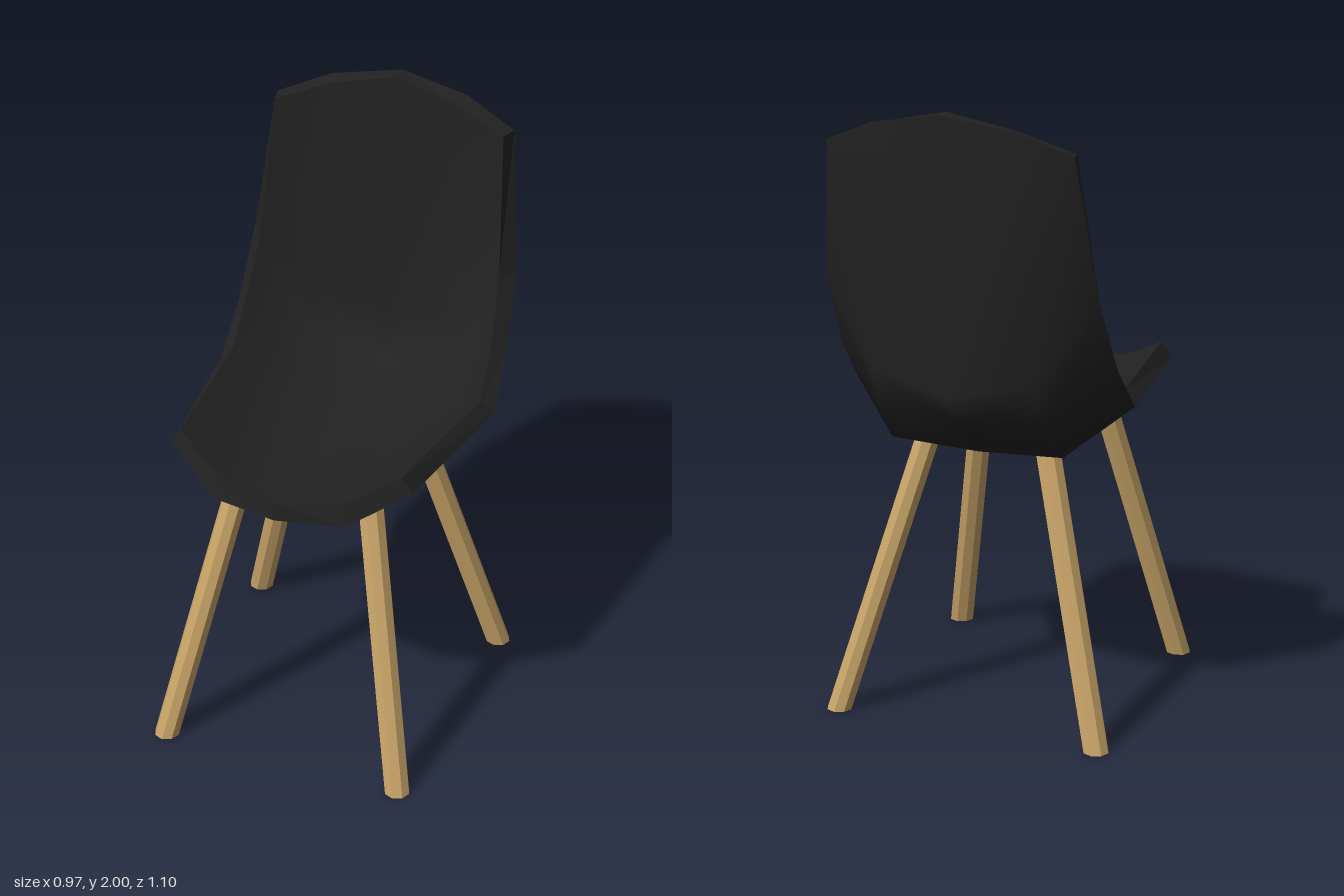
import * as THREE from 'three';

const black = new THREE.MeshStandardMaterial({ color: 0x222222 });
const blackFlat = new THREE.MeshStandardMaterial({ color: 0x222222, flatShading: true });
const wood = new THREE.MeshStandardMaterial({ color: 0xc8a468, flatShading: true });

// Half cross-sections of the shell, front lip to top of back: [edge, mid, centre]
const INNER = [
  [[0.365, 1.12, 0.40], [0.20, 1.035, 0.49], [0, 1.02, 0.53]],
  [[0.43, 1.10, -0.14], [0.26, 0.975, -0.265], [0, 0.95, -0.235]],
  [[0.425, 1.24, -0.25], [0.255, 1.09, -0.36], [0, 1.05, -0.345]],
  [[0.41, 1.44, -0.35], [0.24, 1.22, -0.43], [0, 1.16, -0.46]],
  [[0.385, 1.89, -0.42], [0.21, 1.955, -0.465], [0, 2.0, -0.49]],
];
const OUTER = [
  [[0.40, 1.07, 0.40], [0.22, 0.967, 0.50], [0, 0.96, 0.535]],
  [[0.475, 1.06, -0.15], [0.29, 0.91, -0.28], [0, 0.89, -0.26]],
  [[0.465, 1.21, -0.28], [0.28, 1.04, -0.385], [0, 1.01, -0.385]],
  [[0.452, 1.44, -0.40], [0.26, 1.19, -0.49], [0, 1.13, -0.51]],
  [[0.40, 1.89, -0.48], [0.23, 1.96, -0.525], [0, 2.0, -0.55]],
];

// Mirror a half section into a full row running from -x to +x
const fullRow = ([e, m, c]) => {
  const flip = ([x, y, z]) => [-x, y, z];
  return [flip(e), flip(m), c, m, e];
};

function mesh(name, points, index, material) {
  let geo = new THREE.BufferGeometry();
  geo.setAttribute('position', new THREE.Float32BufferAttribute(points.flat(), 3));
  geo.setIndex(index);
  if (material.flatShading) geo = geo.toNonIndexed();
  geo.computeVertexNormals();
  const m = new THREE.Mesh(geo, material);
  m.name = name;
  return m;
}

// Smooth surface through a grid of points
function skin(name, rows, reversed) {
  const n = rows[0].length, index = [];
  for (let i = 0; i < rows.length - 1; i++) {
    for (let j = 0; j < n - 1; j++) {
      const a = i * n + j, b = a + 1, c = a + n, d = c + 1;
      // Mirrored diagonals keep both halves alike
      const tris = j < n / 2 - 1 ? [[a, b, c], [b, d, c]] : [[a, b, d], [a, d, c]];
      for (const [p, q, r] of tris) index.push(...(reversed ? [p, r, q] : [p, q, r]));
    }
  }
  return mesh(name, rows.flat(), index, black);
}

// Border of a grid as a closed loop
function border(rows) {
  const last = rows.length - 1, n = rows[0].length;
  const right = rows.slice(1, last).map((r) => r[n - 1]);
  const left = rows.slice(1, last).map((r) => r[0]).reverse();
  return [...rows[0], ...right, ...[...rows[last]].reverse(), ...left];
}

// Flat strip joining the inner and outer skins
function rim(inner, outer) {
  const a = border(inner), b = border(outer), n = a.length, index = [];
  for (let i = 0; i < n; i++) {
    const j = (i + 1) % n;
    index.push(i, n + i, n + j, i, n + j, j);
  }
  return mesh('rim', [...a, ...b], index, blackFlat);
}

// Slanted leg with a level foot: an upright cylinder sheared along its height
function leg(name, foot, top, height) {
  const geo = new THREE.CylinderGeometry(0.042, 0.042, height, 8);
  geo.translate(0, height / 2, 0);
  const p = geo.attributes.position;
  for (let i = 0; i < p.count; i++) {
    const t = p.getY(i) / height;
    p.setX(i, p.getX(i) + THREE.MathUtils.lerp(foot[0], top[0], t));
    p.setZ(i, p.getZ(i) + THREE.MathUtils.lerp(foot[1], top[1], t));
  }
  geo.computeVertexNormals();
  const m = new THREE.Mesh(geo, wood);
  m.name = name;
  return m;
}

export function createModel() {
  const chair = new THREE.Group();
  chair.name = 'chair';

  // Seat and back in one shell
  const shell = new THREE.Group();
  shell.name = 'seatShell';
  const inner = INNER.map(fullRow), outer = OUTER.map(fullRow);
  shell.add(skin('innerShell', inner, false), skin('outerShell', outer, true), rim(inner, outer));
  chair.add(shell);

  // Four splayed legs
  for (const [side, s] of [['Left', 1], ['Right', -1]]) {
    chair.add(leg(`front${side}Leg`, [s * 0.405, 0.51], [s * 0.21, 0.265], 0.96));
    chair.add(leg(`back${side}Leg`, [s * 0.445, -0.38], [s * 0.2, -0.19], 0.92));
  }
  return chair;
}
